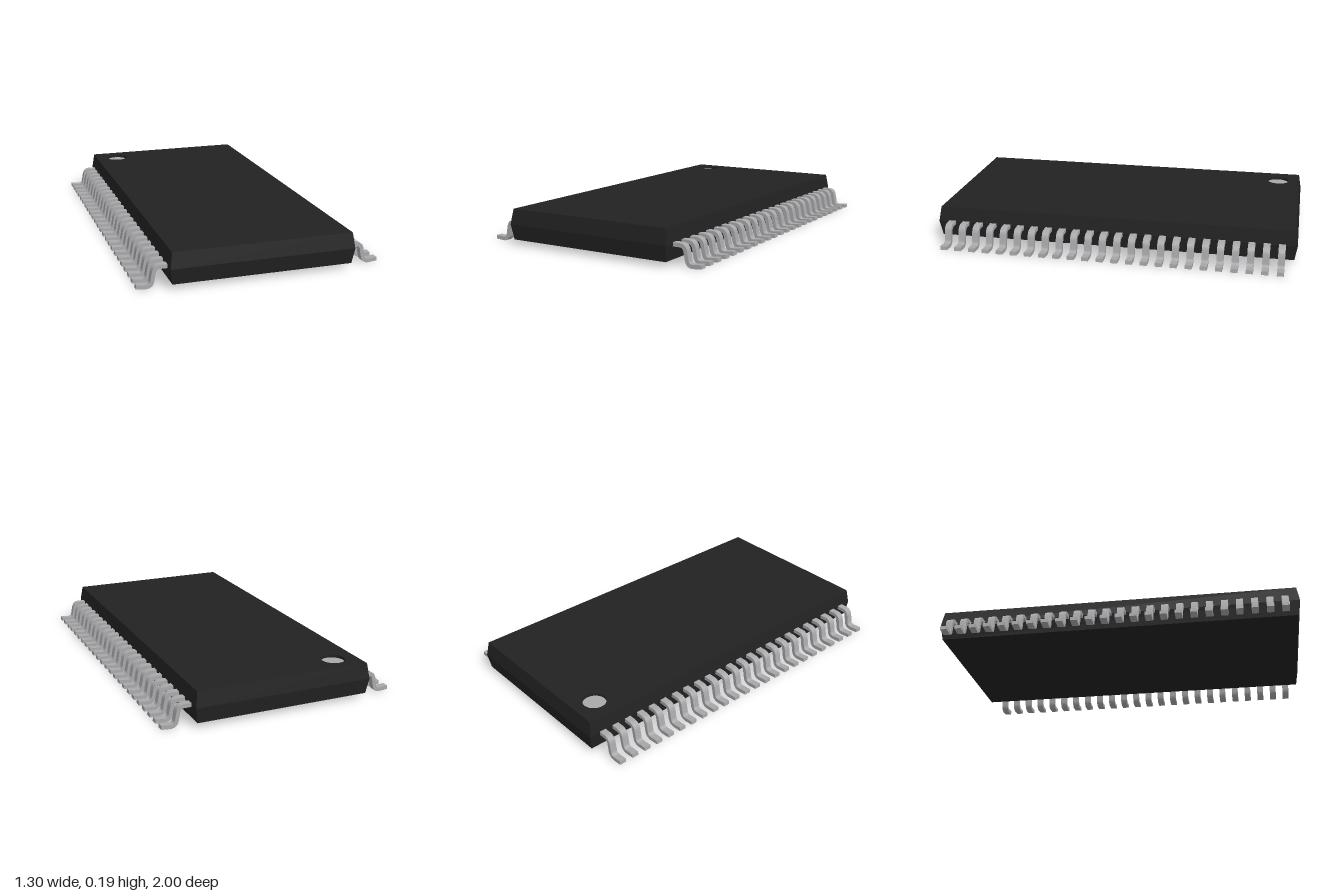
import * as THREE from 'three';

const plastic = new THREE.MeshStandardMaterial({ color: 0x222222 });
plastic.name = 'black plastic';
const metal = new THREE.MeshStandardMaterial({ color: 0xa9a9ac });
metal.name = 'grey metal';

const BOTTOM = 0.028, SEAM = 0.112, TOP = 0.195;
const HALF_X = 0.478, HALF_Z = 0.986;
const DOT = { x: -0.348, z: -0.862, r: 0.063, depth: 0.015 };

function mesh(name, geometry, material) {
  const m = new THREE.Mesh(geometry, material);
  m.name = name;
  return m;
}

// Four tapered walls above and below the widest line
function wallGeometry() {
  const ring = (x, y, z) => [[-x, y, z], [x, y, z], [x, y, -z], [-x, y, -z]];
  const rings = [ring(HALF_X, BOTTOM, HALF_Z), ring(0.49, SEAM, 1), ring(HALF_X, TOP, HALF_Z)];
  const points = [];
  for (let r = 0; r < 2; r++) {
    for (let i = 0; i < 4; i++) {
      const j = (i + 1) % 4;
      const a = rings[r][i], b = rings[r][j], c = rings[r + 1][j], d = rings[r + 1][i];
      points.push(...a, ...b, ...c, ...a, ...c, ...d);
    }
  }
  const g = new THREE.BufferGeometry();
  g.setAttribute('position', new THREE.Float32BufferAttribute(points, 3));
  g.computeVertexNormals();
  return g;
}

// Top face with a round opening for the marker
function topGeometry() {
  const shape = new THREE.Shape();
  shape.moveTo(-HALF_X, -HALF_Z).lineTo(HALF_X, -HALF_Z).lineTo(HALF_X, HALF_Z).lineTo(-HALF_X, HALF_Z).closePath();
  const hole = new THREE.Path();
  hole.absarc(DOT.x, -DOT.z, DOT.r, 0, Math.PI * 2, true);
  shape.holes.push(hole);
  return new THREE.ShapeGeometry(shape, 24).rotateX(-Math.PI / 2).translate(0, TOP, 0);
}

// S-bent strip: offset a centre line both ways, then extrude to the pin width
function pinGeometry() {
  const half = 0.0105, width = 0.037;
  const path = new THREE.CurvePath();
  const v = (x, y) => new THREE.Vector2(x, y);
  path.add(new THREE.LineCurve(v(0.46, 0.111), v(0.525, 0.111)));
  path.add(new THREE.CubicBezierCurve(v(0.525, 0.111), v(0.548, 0.111), v(0.556, 0.098), v(0.559, 0.08)));
  path.add(new THREE.LineCurve(v(0.559, 0.08), v(0.566, 0.043)));
  path.add(new THREE.CubicBezierCurve(v(0.566, 0.043), v(0.569, 0.025), v(0.577, 0.013), v(0.6, 0.0135)));
  path.add(new THREE.LineCurve(v(0.6, 0.0135), v(0.648, 0.0175)));
  const upper = [], lower = [];
  for (const curve of path.curves) {
    const steps = curve.isLineCurve ? 1 : 8;
    for (let i = curve === path.curves[0] ? 0 : 1; i <= steps; i++) {
      const p = curve.getPoint(i / steps), t = curve.getTangent(i / steps);
      upper.push(v(p.x - t.y * half, p.y + t.x * half));
      lower.push(v(p.x + t.y * half, p.y - t.x * half));
    }
  }
  const shape = new THREE.Shape([...lower, ...upper.reverse()]);
  const g = new THREE.ExtrudeGeometry(shape, { depth: width, bevelEnabled: false });
  g.translate(0, 0, -width / 2);
  g.computeBoundingBox();
  return g.translate(0, -g.boundingBox.min.y, 0);
}

export function createModel() {
  const model = new THREE.Group();
  model.name = 'chipPackage';

  // Moulded body
  const body = new THREE.Group();
  body.name = 'body';
  body.add(mesh('bodyWalls', wallGeometry(), plastic));
  body.add(mesh('bodyTop', topGeometry(), plastic));
  const underside = new THREE.PlaneGeometry(HALF_X * 2, HALF_Z * 2).rotateX(Math.PI / 2).translate(0, BOTTOM, 0);
  body.add(mesh('bodyUnderside', underside, plastic));

  // Recessed marker: inward-facing wall and a grey floor
  const wall = new THREE.CylinderGeometry(DOT.r, DOT.r, DOT.depth, 48, 1, true).scale(-1, 1, 1);
  const recess = mesh('markerRecess', wall, plastic);
  recess.position.set(DOT.x, TOP - DOT.depth / 2, DOT.z);
  const floor = mesh('markerDot', new THREE.CircleGeometry(DOT.r, 48).rotateX(-Math.PI / 2), metal);
  floor.position.set(DOT.x, TOP - DOT.depth, DOT.z);
  body.add(recess, floor);
  model.add(body);

  // Two rows of pins
  const pin = pinGeometry();
  const count = 24, pitch = 0.08;
  for (const side of [1, -1]) {
    const row = new THREE.Group();
    row.name = side > 0 ? 'leftPins' : 'rightPins';
    for (let i = 0; i < count; i++) {
      const p = mesh('pin', pin, metal);
      p.position.z = (i - (count - 1) / 2) * pitch * side;
      row.add(p);
    }
    if (side < 0) row.rotation.y = Math.PI;
    model.add(row);
  }
  return model;
}
